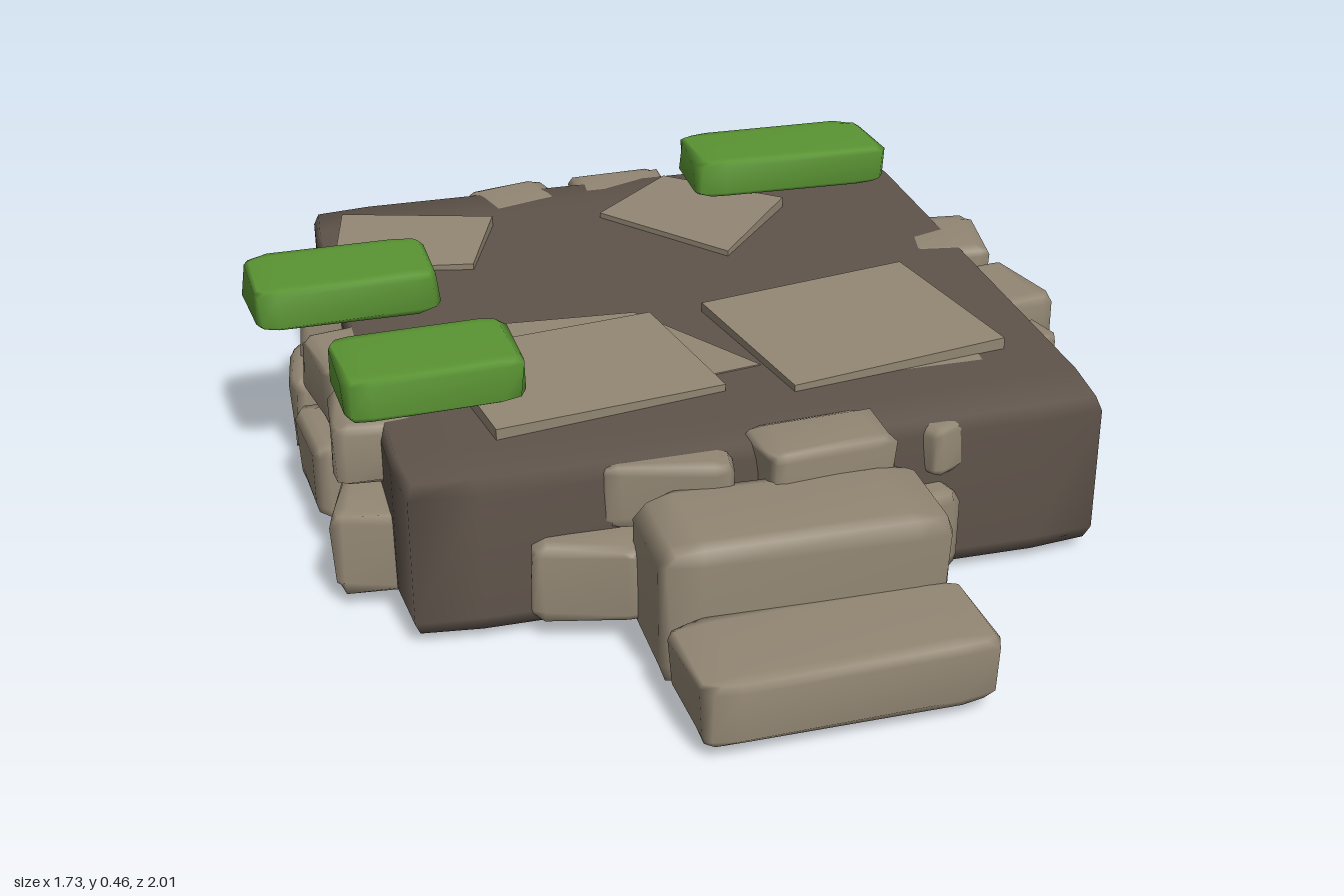
import * as THREE from 'three';
import { mergeVertices } from 'three/addons/utils/BufferGeometryUtils.js';

export function createModel() {
  const model = new THREE.Group();
  model.name = 'stonePlatform';
  const mat = (name, color) => {
    const m = new THREE.MeshStandardMaterial({ color });
    m.name = name;
    return m;
  };
  const earth = mat('darkEarth', 0x5f544b);
  const rock = mat('paleStone', 0x938774);
  const moss = mat('mossGreen', 0x5a9433);

  let seed = 11;
  const rand = () => {
    seed = (seed * 16807) % 2147483647;
    return seed / 2147483647 - 0.5;
  };

  // Unit block with pulled-in edges, shared vertices for smooth shading
  function block(inner, edge, corner, jitter) {
    let g = new THREE.BoxGeometry(1, 1, 1, 3, 3, 3);
    g.deleteAttribute('uv');
    g.deleteAttribute('normal');
    g = mergeVertices(g);
    const p = g.attributes.position, v = new THREE.Vector3();
    for (let i = 0; i < p.count; i++) {
      v.fromBufferAttribute(p, i);
      const outer = v.toArray().filter((c) => Math.abs(c) > 0.4).length;
      const k = outer === 3 ? corner : outer === 2 ? edge : 1;
      const a = v.toArray().map((c) => (Math.abs(c) > 0.4 ? c * k : Math.sign(c) * inner) + rand() * jitter);
      p.setXYZ(i, ...a);
    }
    return g;
  }

  function add(name, geo, material) {
    geo.computeVertexNormals();
    const m = new THREE.Mesh(geo, material);
    m.name = name;
    model.add(m);
    return m;
  }

  function stone(name, x, y, z, w, h, d, yaw = 0, material = rock, jitter = 0.07) {
    const g = block(0.36, 0.94, 0.88, jitter);
    g.scale(w, h, d);
    const m = add(name, g, material);
    m.position.set(x, y, z);
    m.rotation.y = yaw;
    return m;
  }

  // Main earth slab, bent to an uneven four-cornered outline
  const base = block(0.4, 0.985, 0.97, 0);
  const bp = base.attributes.position;
  const quad = [[-0.67, -0.88], [0.74, -0.89], [0.71, 0.52], [-0.67, 0.51]];
  for (let i = 0; i < bp.count; i++) {
    const u = bp.getX(i) + 0.5, w = bp.getZ(i) + 0.5;
    const mix = (k) => (1 - w) * ((1 - u) * quad[0][k] + u * quad[1][k]) + w * ((1 - u) * quad[3][k] + u * quad[2][k]);
    bp.setXYZ(i, mix(0), 0.18 + bp.getY(i) * 0.325, mix(1));
  }
  add('earthBase', base, earth);

  // Two steps at the front
  stone('lowerStep', 0.025, 0.09, 0.878, 0.56, 0.13, 0.23, 0.02, rock, 0.03);
  stone('upperStep', 0.02, 0.147, 0.66, 0.55, 0.29, 0.24, -0.03, rock, 0.03);

  // Edge stones: [along, centre across, y, length, height, depth, yaw]
  const sides = {
    right: [
      [0.18, 0.68, 0.115, 0.2, 0.17, 0.2, 0.15], [-0.07, 0.75, 0.115, 0.25, 0.16, 0.2, -0.1],
      [-0.37, 0.75, 0.115, 0.26, 0.17, 0.18, 0.15], [-0.6, 0.67, 0.11, 0.12, 0.15, 0.15, 0.3],
      [0.17, 0.66, 0.28, 0.1, 0.1, 0.16, 0.2], [-0.06, 0.71, 0.275, 0.23, 0.13, 0.18, 0.1],
      [-0.35, 0.71, 0.275, 0.22, 0.13, 0.18, -0.15],
    ],
    left: [
      [0.24, -0.67, 0.115, 0.22, 0.17, 0.18, -0.3], [-0.07, -0.69, 0.115, 0.22, 0.17, 0.19, 0.1],
      [-0.36, -0.69, 0.115, 0.22, 0.17, 0.18, -0.1], [-0.58, -0.65, 0.11, 0.14, 0.15, 0.12, -0.2],
      [0.15, -0.66, 0.275, 0.2, 0.13, 0.18, -0.1], [-0.12, -0.67, 0.275, 0.2, 0.13, 0.17, 0.15],
      [-0.42, -0.65, 0.275, 0.22, 0.13, 0.18, -0.2],
    ],
    back: [
      [-0.17, -0.91, 0.115, 0.22, 0.17, 0.16, 0.2], [0.11, -0.925, 0.115, 0.28, 0.17, 0.15, -0.05],
      [0.36, -0.88, 0.11, 0.2, 0.16, 0.14, -0.3], [-0.18, -0.85, 0.275, 0.19, 0.13, 0.16, 0.25],
      [0.08, -0.88, 0.275, 0.22, 0.13, 0.14, -0.05], [0.36, -0.86, 0.275, 0.18, 0.13, 0.12, -0.3],
    ],
    front: [
      [-0.33, 0.5, 0.12, 0.21, 0.16, 0.15, -0.3], [0.3, 0.51, 0.12, 0.16, 0.17, 0.14, 0.3],
      [-0.17, 0.48, 0.27, 0.24, 0.13, 0.14, -0.25], [0.12, 0.51, 0.285, 0.26, 0.13, 0.14, 0.08],
      [0.36, 0.47, 0.28, 0.1, 0.1, 0.12, 0.5],
    ],
  };
  for (const [side, list] of Object.entries(sides)) {
    const turned = side === 'left' || side === 'right';
    for (const [t, across, y, l, h, d, yaw] of list) {
      if (turned) stone(side + 'EdgeStone', across, y, t, d, h, l, yaw);
      else stone(side + 'EdgeStone', t, y, across, l, h, d, yaw);
    }
  }

  // Thin paving slabs on top: corner outline, top height, tilt
  function paving(corners, top, thick, tiltX = 0, tiltZ = 0) {
    const cx = corners.reduce((s, c) => s + c[0], 0) / corners.length;
    const cz = corners.reduce((s, c) => s + c[1], 0) / corners.length;
    const shape = new THREE.Shape(corners.map(([x, z]) => new THREE.Vector2(x - cx, cz - z)));
    const g = new THREE.ExtrudeGeometry(shape, { depth: thick, bevelEnabled: false });
    g.rotateX(-Math.PI / 2);
    const m = add('pavingSlab', g, rock);
    m.position.set(cx, top - thick, cz);
    m.rotation.set(tiltX, 0, tiltZ);
  }
  paving([[-0.6, -0.79], [-0.27, -0.67], [-0.36, -0.43], [-0.66, -0.5]], 0.358, 0.04, 0.03, 0.03);
  paving([[-0.02, -0.65], [0.18, -0.82], [0.41, -0.6], [0.2, -0.35]], 0.36, 0.04, 0.02, 0.03);
  paving([[-0.52, 0.02], [-0.06, -0.06], [0, 0.29], [-0.47, 0.37]], 0.365, 0.035, 0.02, -0.02);
  paving([[0.06, -0.08], [0.53, -0.15], [0.6, 0.26], [0.13, 0.33]], 0.365, 0.035, 0.02, 0.02);
  paving([[-0.52, -0.14], [-0.08, -0.11], [0.1, 0.2], [-0.2, 0.25], [-0.65, 0.15]], 0.345, 0.04);
  paving([[0.14, 0.25], [0.54, 0.25], [0.53, 0.44], [0.12, 0.44]], 0.341, 0.04, 0.03);

  // Moss cushions
  for (const [x, z, w, d, yaw] of [[0.445, -0.73, 0.46, 0.22, -0.02], [-0.67, -0.27, 0.385, 0.22, 0.03], [-0.565, 0.18, 0.35, 0.22, 0.04]])
    stone('mossCushion', x, 0.413, z, w, 0.09, d, yaw, moss, 0.035);

  return model;
}
